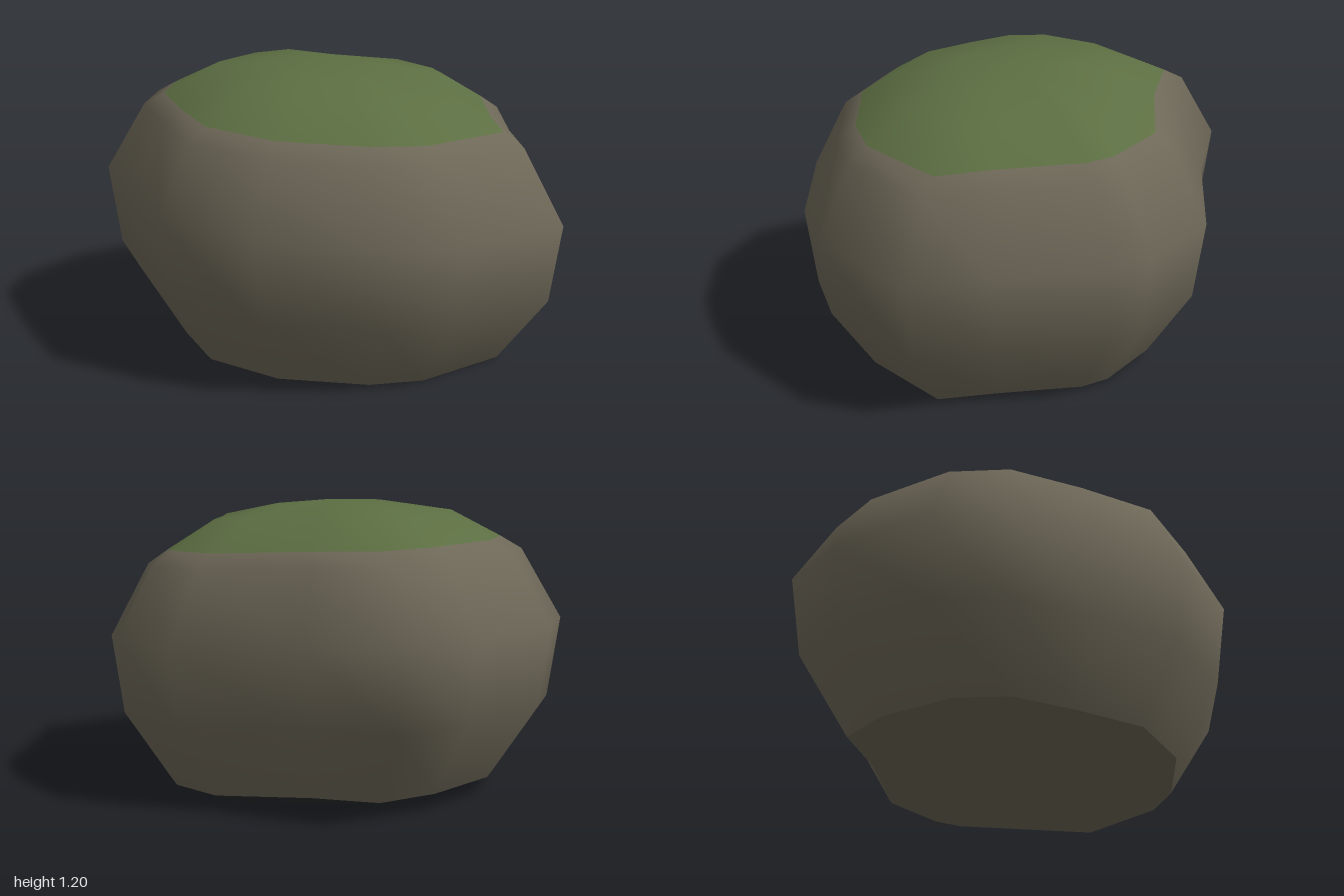
import * as THREE from 'three';

const rock = new THREE.MeshStandardMaterial({ color: 0x6e6858 });
rock.name = 'rock';
const moss = new THREE.MeshStandardMaterial({ color: 0x5c6e42 });
moss.name = 'moss';

// Widest outline of the boulder, as [x, z]
const outline = [
  [-0.56, -0.88], [-0.16, -0.83], [0.39, -0.85], [0.71, -0.64], [0.80, -0.50],
  [0.90, -0.04], [1.0, 0.28], [0.63, 0.70], [0.35, 0.82], [-0.15, 0.88],
  [-0.57, 0.73], [-0.80, 0.41], [-0.99, 0.09], [-1.0, -0.21], [-0.80, -0.64],
];
// Rings from the base up, as [outline scale, height]
const rings = [
  [0.74, 0.03], [0.95, 0.34], [1, 0.675], [0.83, 0.97],
  [0.74, 1.025], [0.53, 1.14], [0.26, 1.185],
];
const mossRing = 4;
const n = outline.length;

// Every ring leans slightly up towards the back right
const ringPoint = ([scale, height], [x, z]) => [
  x * scale,
  Math.max(0, height - 0.05 * x * scale - 0.025 * z * scale),
  z * scale,
];

function makeGeometry(positions, index) {
  const geometry = new THREE.BufferGeometry();
  geometry.setAttribute('position', new THREE.Float32BufferAttribute(positions, 3));
  geometry.setIndex(index);
  geometry.computeVertexNormals();
  return geometry;
}

// Smooth sides and top; the moss cap shares normals with the stone
function boulderGeometry() {
  const positions = rings.flatMap((ring) => outline.flatMap((p) => ringPoint(ring, p)));
  positions.push(0, 1.2, 0);
  const pole = rings.length * n;
  const index = [];
  let mossStart = 0;
  for (let i = 0; i < rings.length; i++) {
    if (i === mossRing) mossStart = index.length;
    for (let j = 0; j < n; j++) {
      const a = i * n + j;
      const b = i * n + ((j + 1) % n);
      if (i === rings.length - 1) index.push(a, pole, b);
      else index.push(a, a + n, b + n, a, b + n, b);
    }
  }
  const geometry = makeGeometry(positions, index);
  geometry.addGroup(0, mossStart, 0);
  geometry.addGroup(mossStart, index.length - mossStart, 1);
  return geometry;
}

// Flat underside with a hard edge
function baseGeometry() {
  const positions = outline.flatMap((p) => ringPoint(rings[0], p));
  positions.push(0, 0.025, 0);
  const index = [];
  for (let j = 0; j < n; j++) index.push(n, j, (j + 1) % n);
  return makeGeometry(positions, index);
}

export function createModel() {
  const group = new THREE.Group();
  group.name = 'mossyBoulder';

  const boulder = new THREE.Mesh(boulderGeometry(), [rock, moss]);
  boulder.name = 'boulderWithMossCap';
  const base = new THREE.Mesh(baseGeometry(), rock);
  base.name = 'underside';

  group.add(boulder, base);
  return group;
}
